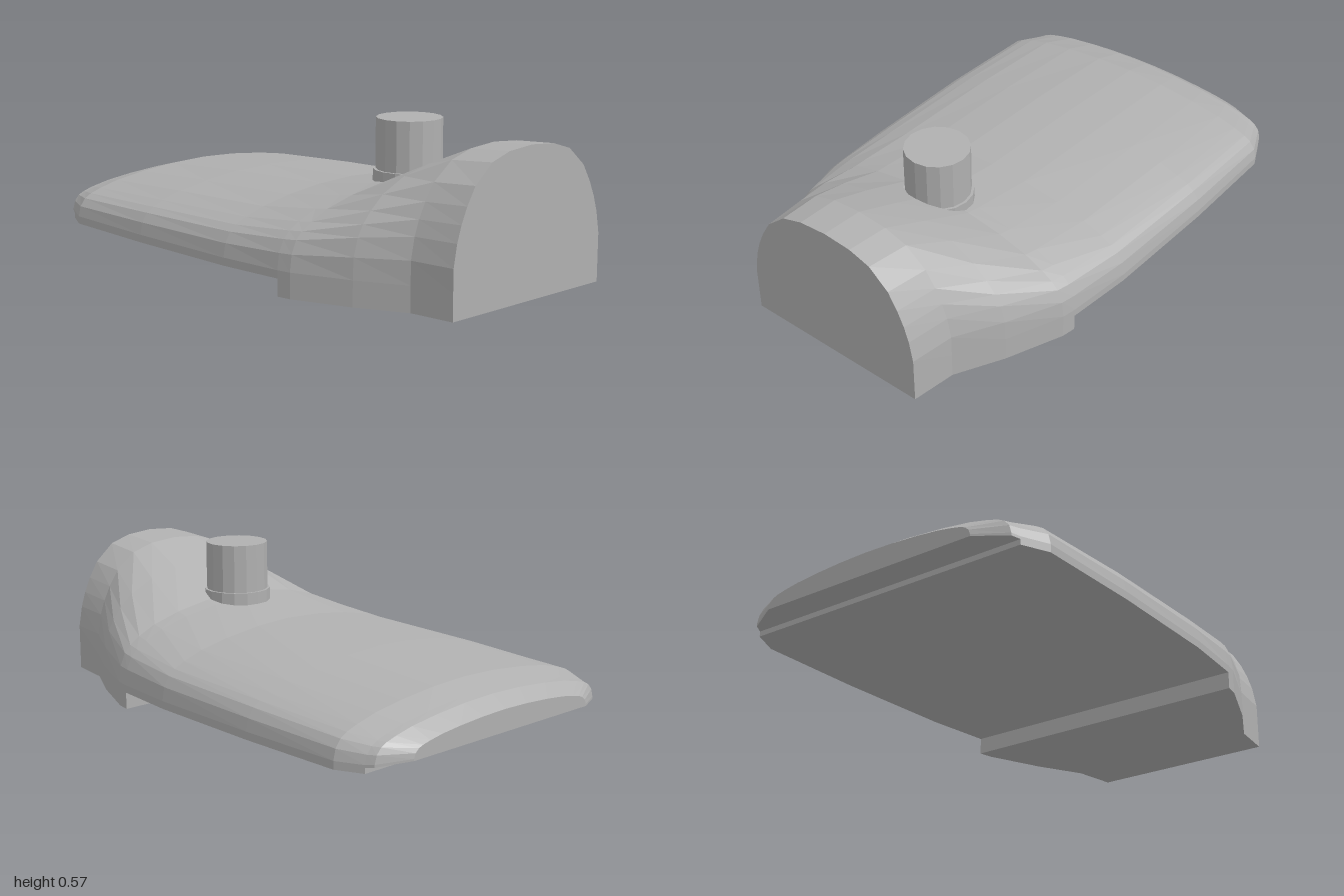
import * as THREE from 'three';

// Half cross-sections from the lip to the crown: [fraction of half width, fraction of height above lip]
const ARCH = [[1, 0], [1, 0.19], [0.96, 0.37], [0.91, 0.5], [0.84, 0.63], [0.74, 0.77], [0.53, 0.92], [0.3, 0.98], [0, 1]];
const WIDE = [[1, 0], [0.985, 0.24], [0.95, 0.42], [0.905, 0.52], [0.83, 0.62], [0.7, 0.75], [0.5, 0.87], [0.25, 0.965], [0, 1]];

// Stations front to back: z, half width, crown y, bottom y, lip y, blend towards the arch
const STATIONS = [
  [1, 0.38, 0.547, 0, 0.095, 1],
  [0.83, 0.405, 0.535, 0, 0.095, 0.9],
  [0.65, 0.5, 0.46, 0, 0.095, 0.5],
  [0.43, 0.59, 0.36, 0, 0.095, 0.1],
  [0.375, 0.6, 0.35, 0, 0.095, 0.08],
  [0.375, 0.6, 0.35, 0.065, 0.095, 0.08],
  [0.11, 0.627, 0.31, 0.065, 0.095, 0],
  [-0.38, 0.64, 0.288, 0.065, 0.095, 0],
  [-0.81, 0.635, 0.26, 0.065, 0.095, 0],
  [-0.91, 0.589, 0.233, 0.065, 0.095, 0],
  [-0.91, 0.589, 0.233, 0.085, 0.095, 0],
  [-0.94, 0.575, 0.225, 0.09, 0.1, 0],
  [-1, 0.455, 0.183, 0.1, 0.107, 0],
];

function makeRing([z, half, top, bottom, lip, blend]) {
  const side = [[half, bottom]];
  WIDE.forEach(([u, v], i) => {
    const x = half * THREE.MathUtils.lerp(u, ARCH[i][0], blend);
    const h = THREE.MathUtils.lerp(v, ARCH[i][1], blend);
    side.push([x, lip + (top - lip) * h]);
  });
  const mirrored = side.slice(0, -1).reverse().map(([x, y]) => [-x, y]);
  return [...side, ...mirrored].map(([x, y]) => [x, y, z]);
}

// Closed loft with flat end caps
function loft(rings) {
  const points = [];
  const triangle = (a, b, c) => points.push(...a, ...b, ...c);
  const n = rings[0].length;
  for (let i = 0; i < rings.length - 1; i++) {
    for (let j = 0; j < n; j++) {
      const k = (j + 1) % n;
      const a = rings[i][j], b = rings[i][k], c = rings[i + 1][k], d = rings[i + 1][j];
      triangle(a, d, b);
      triangle(b, d, c);
    }
  }
  const front = rings[0], back = rings[rings.length - 1];
  for (let j = 1; j < n - 1; j++) {
    triangle(front[0], front[j], front[j + 1]);
    triangle(back[0], back[j + 1], back[j]);
  }
  const geometry = new THREE.BufferGeometry();
  geometry.setAttribute('position', new THREE.Float32BufferAttribute(points, 3));
  geometry.computeVertexNormals();
  return geometry;
}

export function createModel() {
  const group = new THREE.Group();
  group.name = 'housing';
  const grey = new THREE.MeshStandardMaterial({ color: 0xb0b0b0, flatShading: true });
  grey.name = 'plain grey';

  const add = (name, geometry, y = 0, z = 0) => {
    const mesh = new THREE.Mesh(geometry, grey);
    mesh.name = name;
    mesh.position.set(0, y, z);
    group.add(mesh);
  };

  // Arched front flowing into the broad, low rear
  add('body', loft(STATIONS.map(makeRing)));

  // Upright post and the collar around its foot
  add('post', new THREE.CylinderGeometry(0.123, 0.123, 0.275, 16), 0.4375, 0.42);
  add('postCollar', new THREE.CylinderGeometry(0.133, 0.133, 0.085, 16), 0.3425, 0.42);

  return group;
}
